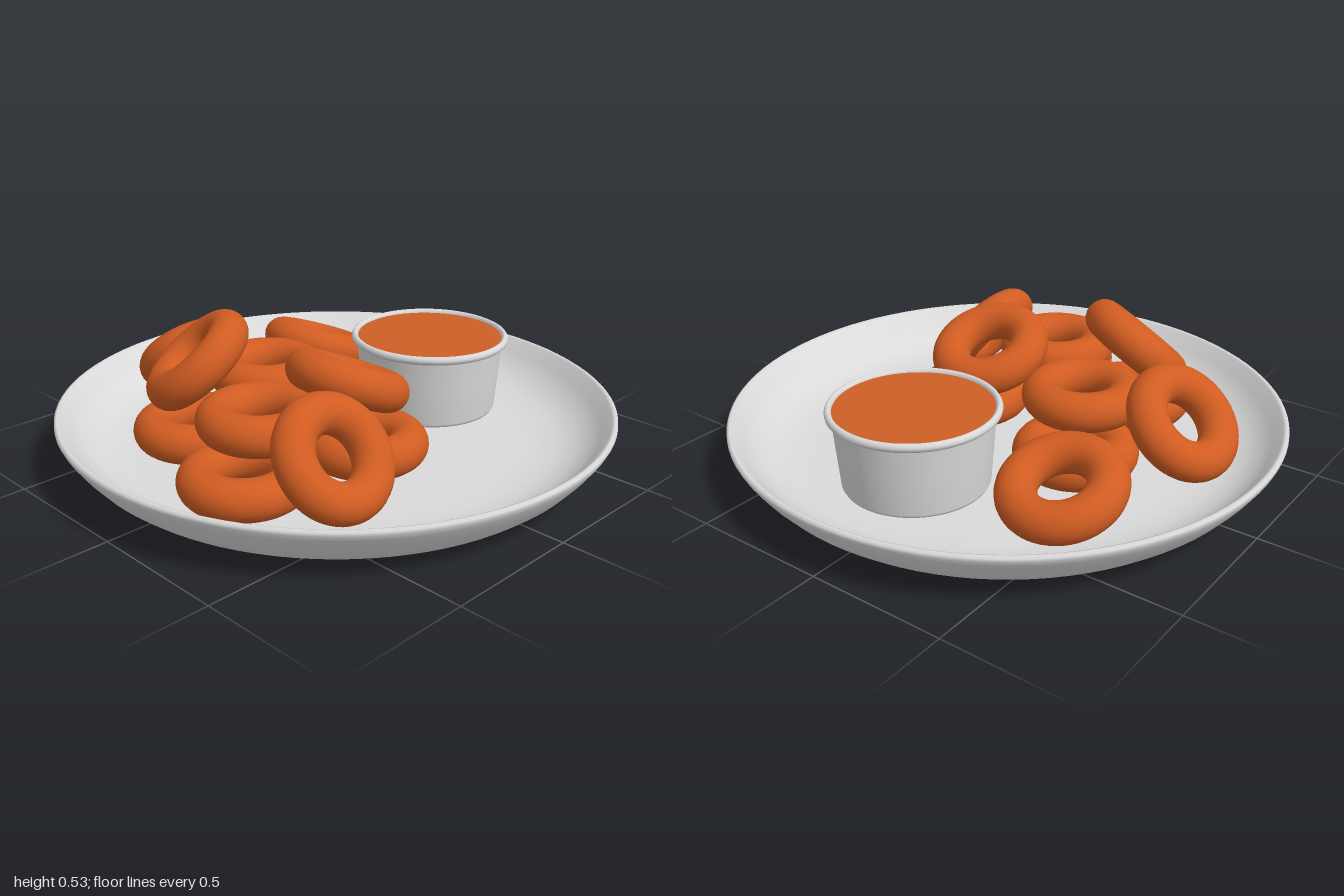
import * as THREE from 'three';

const mat = (name, color) => {
  const m = new THREE.MeshStandardMaterial({ color });
  m.name = name;
  return m;
};

const v2 = (pts) => pts.map(([x, y]) => new THREE.Vector2(x, y));

export function createModel() {
  const china = mat('white china', 0xdadada);
  const batter = mat('fried batter', 0xd05c22);
  const sauceMat = mat('dipping sauce', 0xcd5f26);

  const model = new THREE.Group();
  model.name = 'ringsOnPlate';

  const add = (parent, name, geometry, material) => {
    const mesh = new THREE.Mesh(geometry, material);
    mesh.name = name;
    parent.add(mesh);
    return mesh;
  };

  // Shallow plate: underside, rounded rim, then the inner slope and floor
  add(model, 'plate', new THREE.LatheGeometry(v2([
    [0, 0], [0.68, 0], [0.75, 0.004], [0.83, 0.018], [0.88, 0.042], [0.92, 0.075],
    [0.96, 0.122], [0.99, 0.165], [1, 0.185], [0.999, 0.196], [0.99, 0.202], [0.978, 0.197],
    [0.945, 0.155], [0.91, 0.12], [0.86, 0.088], [0.8, 0.069], [0.73, 0.061], [0.66, 0.06], [0, 0.06],
  ]), 96), china);

  // Sauce cup with a rolled lip
  const cup = new THREE.Group();
  cup.name = 'sauceCup';
  cup.position.set(0.446, 0, 0.058);
  model.add(cup);
  add(cup, 'cupWall', new THREE.LatheGeometry(v2([
    [0.235, 0.061], [0.25, 0.064], [0.256, 0.075], [0.266, 0.2], [0.276, 0.322],
  ]), 64), china);
  add(cup, 'cupLip', new THREE.LatheGeometry(v2([
    [0.27, 0.322], [0.288, 0.323], [0.296, 0.331], [0.297, 0.341], [0.292, 0.35],
    [0.284, 0.354], [0.277, 0.35], [0.273, 0.341], [0.271, 0.325],
  ]), 64), china);
  const sauce = add(cup, 'sauce', new THREE.CircleGeometry(0.275, 64), sauceMat);
  sauce.rotation.x = -Math.PI / 2;
  sauce.position.y = 0.34;

  // Fried rings: centre, then the direction of each ring's axis
  const rings = [
    // lying flat on the plate
    [[0.053, 0.13, -0.33], [0, 1, 0]],
    [[-0.438, 0.13, -0.265], [0, 1, 0]],
    [[-0.582, 0.13, 0.17], [0, 1, 0]],
    [[-0.102, 0.13, 0.245], [0, 1, 0]],
    // second layer
    [[-0.107, 0.262, -0.255], [0, 1, 0]],
    [[-0.422, 0.262, 0.072], [0, 1, 0]],
    // tilted on top
    [[-0.396, 0.367, -0.295], [-0.52, 0.757, -0.39]],
    [[-0.102, 0.335, 0.158], [0.39, 0.92, 0]],
    // leaning at the edges of the pile
    [[-0.425, 0.237, 0.42], [0, 0.62, 0.785]],
    [[-0.158, 0.243, -0.628], [0.1, 0.73, -0.67]],
    [[0.372, 0.19, -0.487], [0.34, 0.94, 0]],
  ];
  const ringGeometry = new THREE.TorusGeometry(0.15, 0.07, 24, 56).rotateX(Math.PI / 2);
  const up = new THREE.Vector3(0, 1, 0);
  const pile = new THREE.Group();
  pile.name = 'ringPile';
  model.add(pile);
  rings.forEach(([centre, axis], i) => {
    const ring = add(pile, `friedRing${i + 1}`, ringGeometry, batter);
    ring.position.set(...centre);
    ring.quaternion.setFromUnitVectors(up, new THREE.Vector3(...axis).normalize());
  });

  return model;
}
